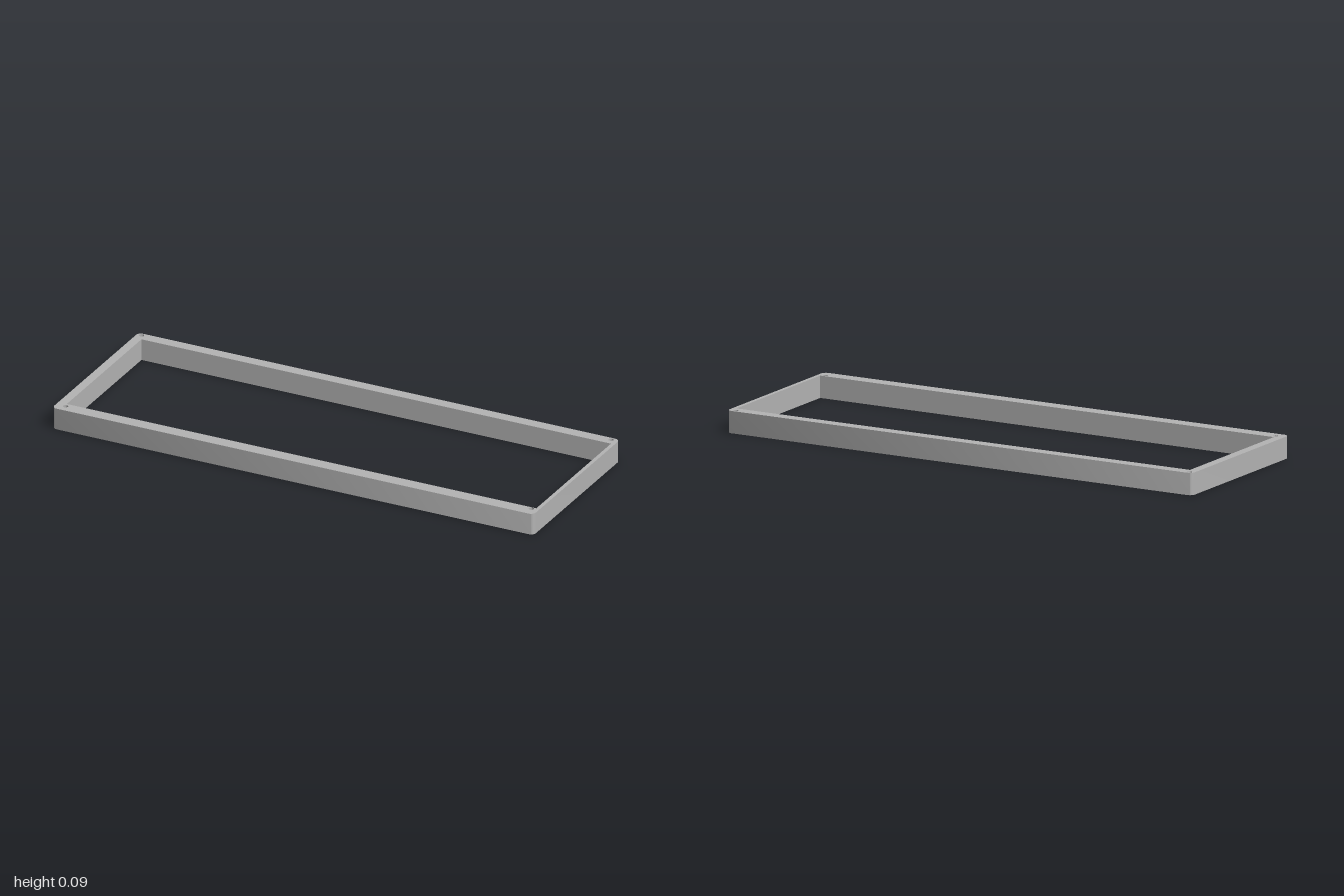
import * as THREE from 'three';
import { mergeGeometries, toCreasedNormals } from 'three/addons/utils/BufferGeometryUtils.js';

const HEIGHT = 0.085, HALF_X = 1, HALF_Z = 0.355, CORNER = 0.02;
const HOLE_R = 0.01, HOLE_FLOOR = 0.02;
// screw hole centres as [x, z]
const HOLES = [[-0.98, -0.34], [0.97, -0.34], [-0.96, 0.322], [0.97, 0.313]];

// Rounded outline; the shape's y becomes -z once laid flat
function roundedOutline(w, h, r) {
  const s = new THREE.Shape();
  s.absarc(w - r, h - r, r, 0, Math.PI / 2);
  s.absarc(-w + r, h - r, r, Math.PI / 2, Math.PI);
  s.absarc(-w + r, -h + r, r, Math.PI, Math.PI * 1.5);
  s.absarc(w - r, -h + r, r, Math.PI * 1.5, Math.PI * 2);
  s.closePath();
  return s;
}

export function createModel() {
  const model = new THREE.Group();
  model.name = 'rectangularFrame';
  const grey = new THREE.MeshStandardMaterial({ color: 0xb3b3b3 });
  grey.name = 'grey';

  // Frame walls: thick long rails, thinner and uneven end rails
  const outline = roundedOutline(HALF_X, HALF_Z, CORNER);
  outline.holes.push(new THREE.Path([
    [-0.965, -0.302], [-0.965, 0.31], [0.985, 0.31], [0.985, -0.302],
  ].map(([x, y]) => new THREE.Vector2(x, y))));
  for (const [x, z] of HOLES) {
    outline.holes.push(new THREE.Path().absarc(x, -z, HOLE_R, 0, Math.PI * 2, true));
  }
  const walls = new THREE.ExtrudeGeometry(outline, { depth: HEIGHT, bevelEnabled: false, curveSegments: 12 });
  walls.rotateX(-Math.PI / 2);
  const frame = new THREE.Mesh(toCreasedNormals(walls, 0.6), grey);
  frame.name = 'frame';
  model.add(frame);

  // Blind screw holes: a floor inside each one and a flush cap underneath
  const discs = [];
  for (const [x, z] of HOLES) {
    discs.push(
      new THREE.CircleGeometry(HOLE_R, 24).rotateX(-Math.PI / 2).translate(x, HOLE_FLOOR, z),
      new THREE.CircleGeometry(HOLE_R, 24).rotateX(Math.PI / 2).translate(x, 0, z),
    );
  }
  const floors = new THREE.Mesh(mergeGeometries(discs), grey);
  floors.name = 'screwHoleFloors';
  model.add(floors);

  return model;
}
